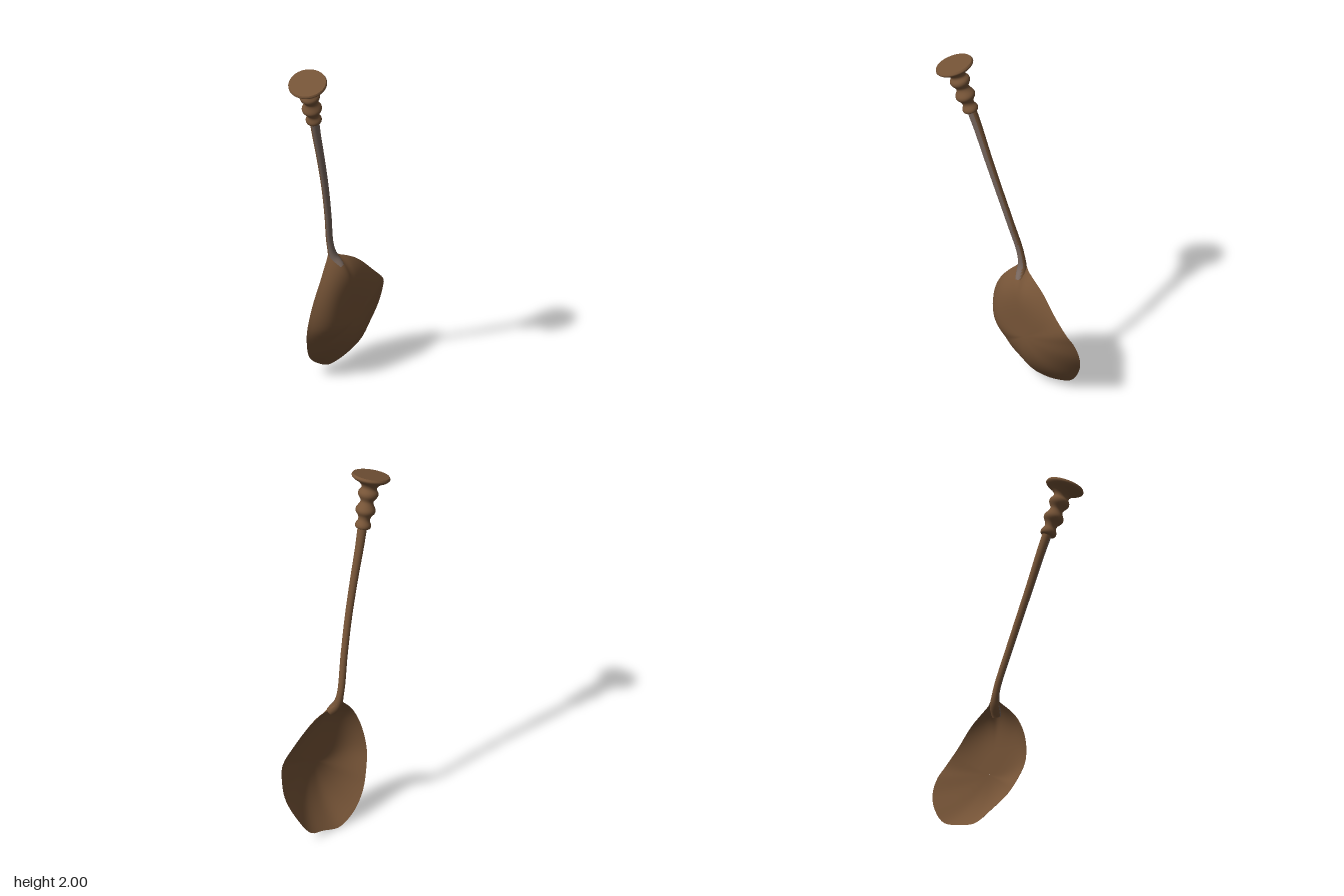
import * as THREE from 'three';

const V = (p) => new THREE.Vector3(...p);

// Rim of the bowl, clockwise seen from the front, starting at the stem.
const RIM = new THREE.CatmullRomCurve3([
  [0.03, 0.745, -0.09], [0.075, 0.715, -0.07], [0.13, 0.69, -0.05], [0.2, 0.645, -0.035],
  [0.3, 0.545, -0.015], [0.38, 0.46, -0.012], [0.412, 0.39, -0.04], [0.42, 0.29, -0.075],
  [0.375, 0.16, -0.125], [0.3, 0.055, -0.148], [0.2, 0.022, -0.142], [0.1, 0.004, -0.155],
  [0, 0.055, -0.158], [-0.09, 0.135, -0.135], [-0.145, 0.24, -0.105], [-0.172, 0.35, -0.08],
  [-0.15, 0.5, -0.06], [-0.095, 0.62, -0.055], [-0.02, 0.705, -0.075],
].map(V), true);
const CENTRE = V([0.12, 0.36, 0.027]);

// One skin of the bowl: rings from the centre to the rim, steeper at the upper left shoulder.
function bowlSkin(thickness, facesBack) {
  const rings = 20, segs = 80, pos = [], index = [];
  for (let i = 0; i <= rings; i++) {
    const f = Math.max(i / rings, 0.002);
    for (let j = 0; j < segs; j++) {
      const r = RIM.getPoint(j / segs);
      const dx = r.x - CENTRE.x, dy = r.y - CENTRE.y;
      const shoulder = Math.max(0, (-0.55 * dx + 0.83 * dy) / Math.hypot(dx, dy));
      const power = 2.4 + 3.2 * shoulder;
      const z = CENTRE.z + (r.z - CENTRE.z) * f ** power - thickness * (1 - f ** 4);
      pos.push(CENTRE.x + dx * f, CENTRE.y + dy * f, z);
      if (i === rings) continue;
      const a = i * segs + j, b = i * segs + (j + 1) % segs, c = a + segs, d = b + segs;
      if (facesBack) index.push(a, d, b, a, c, d);
      else index.push(a, b, d, a, d, c);
    }
  }
  const g = new THREE.BufferGeometry();
  g.setAttribute('position', new THREE.Float32BufferAttribute(pos, 3));
  g.setIndex(index);
  g.computeVertexNormals();
  return g;
}

// Tapered stem, split into its worn front strip and the rest.
function stemParts() {
  const curve = new THREE.CatmullRomCurve3([
    [0.045, 0.665, -0.03], [0.032, 0.72, -0.068], [0.015, 0.8, -0.077], [-0.035, 1, -0.05],
    [-0.09, 1.2, -0.024], [-0.15, 1.4, -0.003], [-0.205, 1.58, 0.012], [-0.242, 1.7, 0.026],
  ].map(V));
  const rows = 60, sides = 16;
  const g = new THREE.TubeGeometry(curve, rows, 1, sides);
  const pos = g.attributes.position, nor = g.attributes.normal, v = new THREE.Vector3();
  for (let i = 0; i <= rows; i++) {
    const t = i / rows, c = curve.getPointAt(t);
    const radius = 0.019 + 0.007 * t ** 3 + 0.009 * Math.exp(-(((t - 0.04) / 0.05) ** 2));
    for (let j = 0; j <= sides; j++) {
      const k = i * (sides + 1) + j;
      v.fromBufferAttribute(pos, k).sub(c).multiplyScalar(radius).add(c);
      pos.setXYZ(k, v.x, v.y, v.z);
    }
  }
  const front = [], rest = [], idx = g.index.array;
  for (let i = 0; i < idx.length; i += 3) {
    const tri = [idx[i], idx[i + 1], idx[i + 2]];
    const facing = tri.reduce((s, k) => s + (0.9 * nor.getZ(k) - 0.4 * nor.getX(k)) / 3, 0);
    (facing > 0.35 ? front : rest).push(...tri);
  }
  return [front, rest].map((list) => {
    const part = g.clone();
    part.setIndex(list);
    return part;
  });
}

export function createModel() {
  const model = new THREE.Group();
  const brown = new THREE.MeshStandardMaterial({ color: 0x765437 });
  brown.name = 'aged brown';
  const grey = new THREE.MeshStandardMaterial({ color: 0x78675e });
  grey.name = 'worn grey brown';
  const add = (parent, name, geometry, material) => {
    const mesh = new THREE.Mesh(geometry, material);
    mesh.name = name;
    parent.add(mesh);
    return mesh;
  };

  // Bowl
  const bowl = new THREE.Group();
  bowl.name = 'bowl';
  add(bowl, 'bowlOutside', bowlSkin(0, false), brown);
  add(bowl, 'bowlInside', bowlSkin(0.012, true), brown);
  model.add(bowl);

  // Stem
  const [front, rest] = stemParts();
  add(model, 'stemFront', front, grey);
  add(model, 'stemBack', rest, brown);

  // Turned finial with a flat disc on top, tilted along the stem
  const finial = new THREE.Group();
  finial.name = 'finial';
  const base = V([-0.24, 1.68, 0.025]);
  const axis = V([-0.335, 1.968, 0.057]).sub(base).normalize();
  finial.position.copy(base);
  finial.quaternion.setFromUnitVectors(new THREE.Vector3(0, 1, 0), axis);
  const profile = new THREE.SplineCurve([
    [0.012, 0], [0.038, 0.006], [0.043, 0.025], [0.032, 0.05], [0.036, 0.072], [0.052, 0.095],
    [0.053, 0.115], [0.038, 0.143], [0.037, 0.162], [0.053, 0.188], [0.054, 0.208],
    [0.042, 0.228], [0.047, 0.246], [0.066, 0.263], [0.092, 0.277], [0.105, 0.291], [0.1, 0.304],
  ].map(([x, y]) => new THREE.Vector2(x, y)));
  add(finial, 'turnedKnob', new THREE.LatheGeometry(profile.getPoints(64), 32), brown);
  const cap = add(finial, 'discTop', new THREE.CircleGeometry(0.1, 32), brown);
  cap.rotation.x = -Math.PI / 2;
  cap.position.y = 0.304;
  model.add(finial);

  return model;
}
